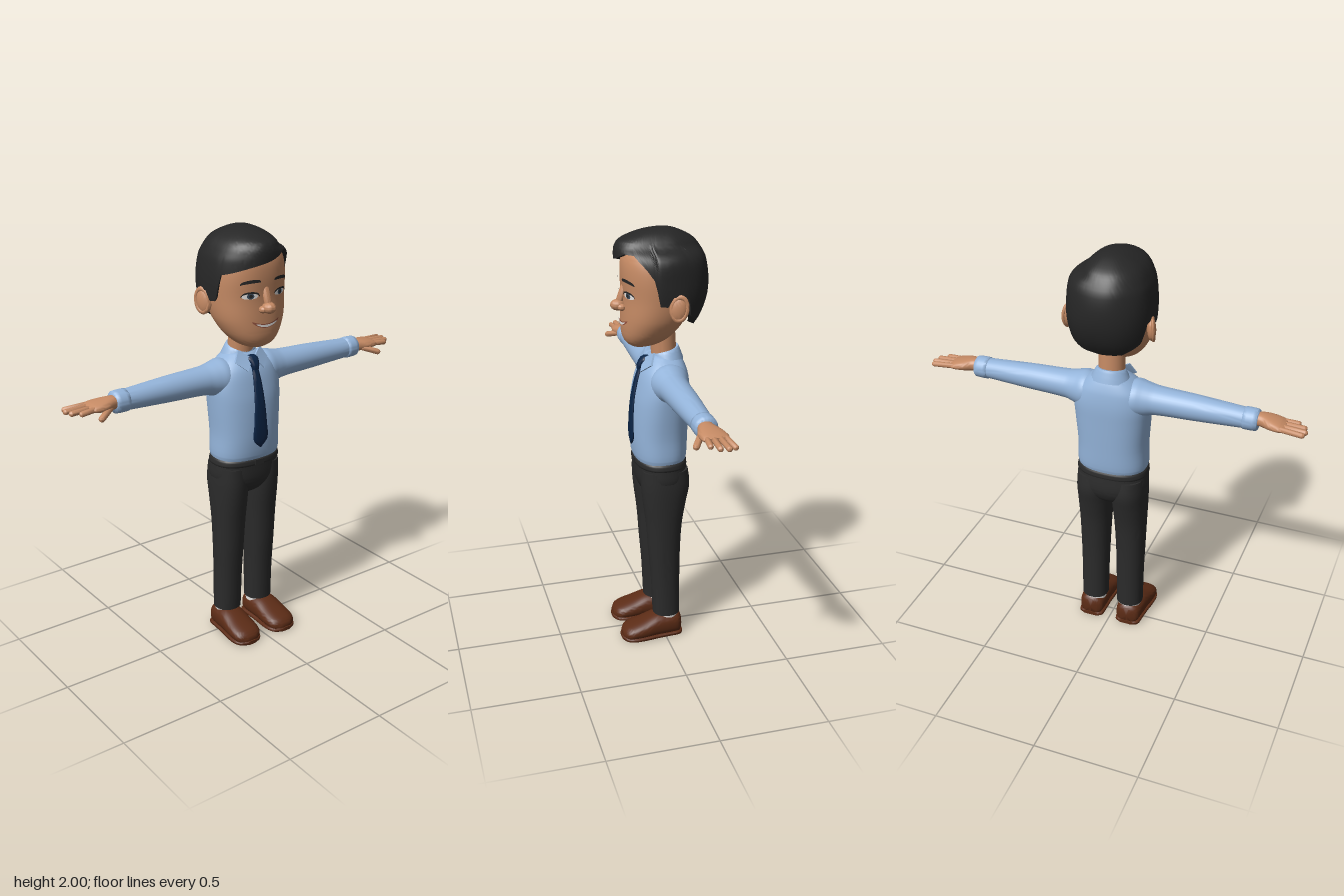
import * as THREE from 'three';
import { toCreasedNormals } from 'three/addons/utils/BufferGeometryUtils.js';

const mat = (name, color, side = THREE.FrontSide) => {
  const m = new THREE.MeshStandardMaterial({ color, side });
  m.name = name;
  return m;
};

// Smooth interpolation of table rows [position, ...values]
function sample(rows, p) {
  let i = 0;
  while (i < rows.length - 2 && p > rows[i + 1][0]) i++;
  const a = rows[i], b = rows[i + 1], h = b[0] - a[0];
  const t = Math.min(1, Math.max(0, (p - a[0]) / h));
  const slope = (k, c) => {
    const q = rows[Math.max(0, k - 1)], r = rows[Math.min(rows.length - 1, k + 1)];
    return (r[c] - q[c]) / (r[0] - q[0]);
  };
  return a.map((v, c) => c === 0 ? p
    : (2 * t ** 3 - 3 * t * t + 1) * v + (t ** 3 - 2 * t * t + t) * h * slope(i, c)
    + (3 * t * t - 2 * t ** 3) * b[c] + (t ** 3 - t * t) * h * slope(i + 1, c));
}

// Surface from a grid of points
function grid(nu, nv, point) {
  const pos = [], index = [];
  for (let i = 0; i <= nu; i++) for (let j = 0; j <= nv; j++) pos.push(...point(i, j));
  for (let i = 0; i < nu; i++) for (let j = 0; j < nv; j++) {
    const a = i * (nv + 1) + j, c = a + nv + 1;
    index.push(a, a + 1, c, a + 1, c + 1, c);
  }
  const g = new THREE.BufferGeometry();
  g.setAttribute('position', new THREE.Float32BufferAttribute(pos, 3));
  g.setIndex(index);
  return g;
}

const pw = (v, n) => Math.sign(v) * Math.abs(v) ** (2 / n);

// Capped loft of superellipse rings [pos, centreU, radiusU, centreV, radiusV]
function loft(rows, axis = 'y', n = 2, seg = 36, steps = 4) {
  const rings = [];
  rows.forEach((r, i) => {
    if (i) for (let k = 1; k <= steps; k++) rings.push(sample(rows, rows[i - 1][0] + (r[0] - rows[i - 1][0]) * k / steps));
    else rings.push(r);
  });
  const cap = r => [r[0], r[1], 0, r[3], 0];
  const all = [cap(rings[0]), ...rings, cap(rings[rings.length - 1])];
  return grid(all.length - 1, seg, (i, j) => {
    const [p, cu, ru, cv, rv] = all[i], a = (j % seg) / seg * Math.PI * 2;
    const u = cu + Math.max(0, ru) * pw(Math.cos(a), n), v = Math.max(0, rv) * pw(Math.sin(a), n);
    return axis === 'y' ? [u, p, cv - v] : axis === 'x' ? [p, u, cv + v] : [u, cv + v, p];
  });
}

// Rows [y, halfWidth, front, back] to loft rows
const body = rows => rows.map(([y, r, f, b]) => [y, 0, r, (f + b) / 2, (f - b) / 2]);

// Rounded rod between two points
function rod(a, b, r) {
  const A = new THREE.Vector3(...a), B = new THREE.Vector3(...b), d = B.clone().sub(A);
  const g = new THREE.CapsuleGeometry(r, d.length(), 6, 12);
  g.applyQuaternion(new THREE.Quaternion().setFromUnitVectors(new THREE.Vector3(0, 1, 0), d.clone().normalize()));
  return g.translate(...A.add(B).multiplyScalar(0.5).toArray());
}

const ball = (x, y, z, sx, sy, sz) => new THREE.SphereGeometry(1, 24, 16).scale(sx, sy, sz).translate(x, y, z);

const headN = 2.25;
const headRows = body([
  [1.47, 0.045, 0.125, 0.04], [1.485, 0.08, 0.147, 0.0], [1.51, 0.11, 0.162, -0.045], [1.55, 0.14, 0.168, -0.085],
  [1.61, 0.167, 0.167, -0.125], [1.7, 0.18, 0.163, -0.165], [1.8, 0.181, 0.168, -0.18], [1.87, 0.165, 0.16, -0.16],
  [1.91, 0.135, 0.135, -0.13], [1.94, 0.08, 0.08, -0.08]]);

function faceZ(x, y) {
  const [, , rx, cz, rz] = sample(headRows, y);
  return cz + rz * Math.max(0, 1 - Math.abs(x / rx) ** headN) ** (1 / headN);
}

// Thin patch laid on the face; top and bottom are heights for s in -1..1
function facePatch(cx, half, top, bottom, off) {
  const g = new THREE.PlaneGeometry(2, 1, 14, 4), p = g.attributes.position;
  for (let i = 0; i < p.count; i++) {
    const s = p.getX(i), v = p.getY(i) + 0.5, x = cx + s * half;
    const y = bottom(s) + (top(s) - bottom(s)) * v;
    p.setXYZ(i, x, y, faceZ(x, y) + off);
  }
  return g;
}

// Hair: rows [sqrt(depth below crown), right, left, front, back] extents
const hairRows = [
  [2.0, 0, 0, 0, 0], [1.98, 0.085, 0.07, 0.125, 0.085], [1.95, 0.135, 0.105, 0.195, 0.14], [1.925, 0.157, 0.122, 0.212, 0.162],
  [1.905, 0.168, 0.16, 0.216, 0.175], [1.87, 0.183, 0.185, 0.216, 0.192], [1.78, 0.196, 0.195, 0.208, 0.205],
  [1.7, 0.195, 0.195, 0.2, 0.198], [1.62, 0.183, 0.183, 0.19, 0.168], [1.56, 0.165, 0.165, 0.18, 0.125],
].map(([y, ...e]) => [Math.sqrt(2 - y), ...e]);
// Hairline height by angle, from the front round the model's left
const hairline = [[-180, 1.565], [-150, 1.575], [-118, 1.63], [-108, 1.72], [-88, 1.73], [-86, 1.685], [-73, 1.69], [-66, 1.81],
  [-50, 1.825], [-25, 1.85], [0, 1.87], [28, 1.905], [45, 1.905], [60, 1.85], [70, 1.8], [75, 1.69], [86, 1.685], [88, 1.73],
  [108, 1.72], [118, 1.63], [150, 1.575], [180, 1.565]];

function hairGeometry() {
  const seg = 120, n = 28;
  return grid(n + 1, seg, (i, j) => {
    const deg = 180 - 360 * (j % seg) / seg, a = deg * Math.PI / 180;
    const k = Math.max(1, hairline.findIndex(h => h[0] >= deg)), [d0, y0] = hairline[k - 1], [d1, y1] = hairline[k];
    const low = y0 + (y1 - y0) * (deg - d0) / (d1 - d0);
    const u = Math.sqrt(2 - low) * Math.min(1, i / n);
    const [, right, left, front, back] = sample(hairRows, u);
    const sx = pw(Math.sin(a), 2.2), sz = pw(Math.cos(a), 2.2);
    // last row tucks under; gentle locks ripple the top
    const f = (i > n ? 0.8 : 1) * (1 + 0.008 * Math.sin(7 * a + 9 * u) * Math.sin(u * 6));
    return [sx * (sx > 0 ? left : right) * f, 2 - u * u + (i > n ? 0.008 : 0), -0.02 + sz * (sz > 0 ? front : back) * f];
  });
}

export function createModel() {
  const model = new THREE.Group();
  const skin = mat('skin', 0xc58a64), hair = mat('hair black', 0x262626), shirt = mat('shirt blue', 0x94b4da),
    tieMat = mat('tie navy', 0x0b2445), trousers = mat('trouser charcoal', 0x2b2b2b), leather = mat('shoe brown', 0x5c2c16),
    white = mat('white', 0xe6e4e2), iris = mat('iris', 0x3c4c5c), lip = mat('lip', 0x94533f);

  const add = (name, geo, m) => {
    const mesh = new THREE.Mesh(toCreasedNormals(geo, 0.9), m);
    mesh.name = name;
    model.add(mesh);
  };
  // Model's left part and its mirrored right copy
  const pair = (name, geo, m) => {
    const other = geo.clone().scale(-1, 1, 1);
    other.setIndex(Array.from(other.index.array).reverse());
    add(name + 'Left', geo, m);
    add(name + 'Right', other, m);
  };

  // Head and hair
  add('head', loft(headRows, 'y', headN, 56, 5), skin);
  add('hair', hairGeometry(), hair);
  add('neck', loft([[1.38, 0, 0.062, -0.03, 0.058], [1.56, 0, 0.06, -0.02, 0.058]]), skin);
  pair('ear', ball(0, 0, 0, 0.02, 0.058, 0.04).rotateY(-0.35).rotateX(-0.15).translate(0.19, 1.675, -0.042), skin);
  pair('earRim', new THREE.TorusGeometry(0.034, 0.008, 8, 24).scale(1, 1.5, 1).rotateY(Math.PI / 2 - 0.35)
    .rotateX(-0.15).translate(0.198, 1.677, -0.045), skin);

  // Nose
  add('noseTip', ball(0, 1.662, 0.184, 0.03, 0.026, 0.035), skin);
  add('noseBridge', rod([0, 1.74, 0.155], [0, 1.672, 0.18], 0.017), skin);
  pair('nostril', ball(0.025, 1.655, 0.172, 0.017, 0.016, 0.02), skin);

  // Eyes, brows and mouth
  const arc = s => Math.sqrt(Math.max(0, 1 - s * s));
  for (const [side, s] of [['Left', 1], ['Right', -1]]) {
    const x = 0.08 * s, lid = t => 1.716 + 0.017 * arc(t);
    add('eyeWhite' + side, facePatch(x, 0.036, lid, t => 1.716 - 0.011 * arc(t), 0.004), white);
    add('iris' + side, facePatch(x, 0.016, t => 1.718 + 0.014 * arc(t), t => 1.718 - 0.012 * arc(t), 0.006), iris);
    add('pupil' + side, facePatch(x, 0.008, t => 1.719 + 0.008 * arc(t), t => 1.719 - 0.008 * arc(t), 0.008), hair);
    add('upperLid' + side, facePatch(x, 0.04, t => 1.721 + 0.018 * arc(t), t => 1.715 + 0.016 * arc(t), 0.008), hair);
    add('eyebrow' + side, facePatch(x, 0.043, t => 1.779 + 0.013 * arc(t) - 0.004 * t * s,
      t => 1.773 + 0.004 * arc(t) - 0.004 * t * s, 0.008), hair);
  }
  const smile = t => 1.578 + 0.024 * t * t;
  add('mouth', facePatch(0, 0.075, t => smile(t) + 0.009 * arc(t), t => smile(t) - 0.009 * arc(t), 0.003), lip);
  add('teeth', facePatch(0, 0.06, t => smile(t * 0.8) + 0.006 * arc(t), t => smile(t * 0.8) - 0.005 * arc(t), 0.006), white);

  // Shirt
  add('shirtBody', loft(body([
    [0.918, 0.163, 0.114, -0.118], [0.945, 0.169, 0.122, -0.125], [1.05, 0.167, 0.128, -0.13], [1.2, 0.178, 0.12, -0.135],
    [1.28, 0.18, 0.105, -0.136], [1.345, 0.16, 0.086, -0.128], [1.385, 0.12, 0.062, -0.115], [1.42, 0.07, 0.03, -0.098]]),
  'y', 2.4, 48), shirt);
  pair('sleeve', loft([[0.06, 1.315, 0.065, -0.025, 0.075], [0.12, 1.312, 0.087, -0.023, 0.09], [0.165, 1.311, 0.08, -0.021, 0.08],
    [0.215, 1.313, 0.068, -0.02, 0.07], [0.4, 1.313, 0.06, -0.02, 0.061], [0.63, 1.311, 0.047, -0.019, 0.048]], 'x'), shirt);
  pair('cuff', loft([[0.62, 1.311, 0.047, -0.019, 0.048], [0.624, 1.311, 0.051, -0.019, 0.052],
    [0.68, 1.311, 0.05, -0.019, 0.05], [0.686, 1.311, 0.045, -0.019, 0.046]], 'x'), shirt);

  // Collar band, lower at the front, with two pointed flaps
  const collar = loft([[1.385, 0, 0.098, -0.036, 0.08], [1.41, 0, 0.086, -0.036, 0.072], [1.44, 0, 0.07, -0.034, 0.063], [1.446, 0, 0.064, -0.034, 0.06]]);
  const cp = collar.attributes.position;
  for (let i = 0; i < cp.count; i++) cp.setY(i, cp.getY(i) - 0.2 * (cp.getZ(i) + 0.035));
  add('collar', collar, shirt);
  const flapShape = new THREE.Shape([[0.004, 1.402], [0.046, 1.352], [0.09, 1.392], [0.062, 1.442]].map(p => new THREE.Vector2(...p)));
  const flap = new THREE.ExtrudeGeometry(flapShape, { depth: 0.009, bevelEnabled: false });
  const fp = flap.attributes.position;
  for (let i = 0; i < fp.count; i++) {
    const x = fp.getX(i), y = fp.getY(i);
    fp.setZ(i, fp.getZ(i) + 0.04 + (1.44 - y) * 0.6 - 2.5 * x * x);
  }
  flap.setIndex([...Array(fp.count).keys()]);
  pair('collarFlap', flap, shirt);

  // Tie
  add('tieBlade', loft([[0.985, 0, 0.003, 0.127, 0.006], [1.022, 0, 0.038, 0.129, 0.008], [1.1, 0, 0.035, 0.129, 0.008],
    [1.2, 0, 0.028, 0.122, 0.008], [1.3, 0, 0.021, 0.102, 0.009], [1.37, 0, 0.015, 0.079, 0.01]], 'y', 2.6, 24), tieMat);
  add('tieKnot', loft([[1.353, 0, 0.015, 0.088, 0.012], [1.375, 0, 0.021, 0.08, 0.018], [1.402, 0, 0.026, 0.064, 0.018],
    [1.412, 0, 0.018, 0.056, 0.012]], 'y', 2.6, 24), tieMat);

  // Hands, palm down with the thumb forward
  pair('palm', loft([[0.66, 1.315, 0.028, -0.016, 0.032], [0.7, 1.315, 0.03, -0.012, 0.038], [0.74, 1.313, 0.027, -0.016, 0.054],
    [0.785, 1.311, 0.02, -0.023, 0.058], [0.81, 1.309, 0.012, -0.025, 0.05]], 'x', 2.3, 24), skin);
  [[-0.072, -0.064, 0.89], [-0.044, -0.04, 0.898], [-0.01, -0.012, 0.888], [0.02, 0.014, 0.855]].forEach(([tip, root, x], i) =>
    pair('finger' + (i + 1), rod([0.785, 1.312, root], [x, 1.307, tip], 0.0125), skin));
  pair('thumb', rod([0.72, 1.302, 0.018], [0.782, 1.28, 0.056], 0.0145), skin);

  // Trousers
  add('belt', loft(body([[0.892, 0.17, 0.116, -0.124], [0.897, 0.173, 0.119, -0.126], [0.921, 0.169, 0.117, -0.123],
    [0.926, 0.165, 0.112, -0.12]]), 'y', 2.4, 48), trousers);
  add('beltTab', new THREE.BoxGeometry(0.05, 0.024, 0.01).translate(0, 0.908, 0.118), trousers);
  add('seat', loft(body([[0.715, 0.02, 0.02, -0.03], [0.75, 0.085, 0.075, -0.095], [0.79, 0.15, 0.102, -0.122],
    [0.83, 0.172, 0.112, -0.131], [0.898, 0.17, 0.115, -0.125]]), 'y', 2.3, 48), trousers);
  pair('trouserLeg', loft([[0.115, 0.093, 0.065, -0.015, 0.065], [0.3, 0.092, 0.067, -0.011, 0.069], [0.45, 0.0915, 0.071, -0.006, 0.076],
    [0.6, 0.09, 0.077, -0.005, 0.086], [0.72, 0.088, 0.083, -0.008, 0.104], [0.8, 0.088, 0.084, -0.012, 0.115],
    [0.88, 0.09, 0.078, -0.008, 0.11]], 'y', 2.2), trousers);

  // Socks and shoes
  pair('sock', loft([[0.09, 0.094, 0.057, -0.018, 0.056], [0.122, 0.094, 0.057, -0.018, 0.056]]), white);
  pair('shoe', loft([[-0.084, 0.098, 0.035, 0.05, 0.042], [-0.072, 0.098, 0.056, 0.054, 0.053], [-0.02, 0.099, 0.066, 0.058, 0.057],
    [0.04, 0.101, 0.069, 0.057, 0.056], [0.1, 0.103, 0.073, 0.046, 0.045], [0.16, 0.104, 0.072, 0.036, 0.035],
    [0.192, 0.104, 0.058, 0.03, 0.027], [0.208, 0.104, 0.03, 0.024, 0.016]], 'z', 2.5), leather);
  pair('shoeSole', loft([[-0.088, 0.098, 0.038, 0.01, 0.009], [-0.074, 0.098, 0.06, 0.01, 0.01], [-0.02, 0.099, 0.066, 0.01, 0.01],
    [0.04, 0.101, 0.069, 0.01, 0.01], [0.11, 0.103, 0.076, 0.01, 0.01], [0.165, 0.104, 0.074, 0.01, 0.01],
    [0.198, 0.104, 0.056, 0.01, 0.01], [0.213, 0.104, 0.025, 0.01, 0.009]], 'z', 5), leather);

  return model;
}
